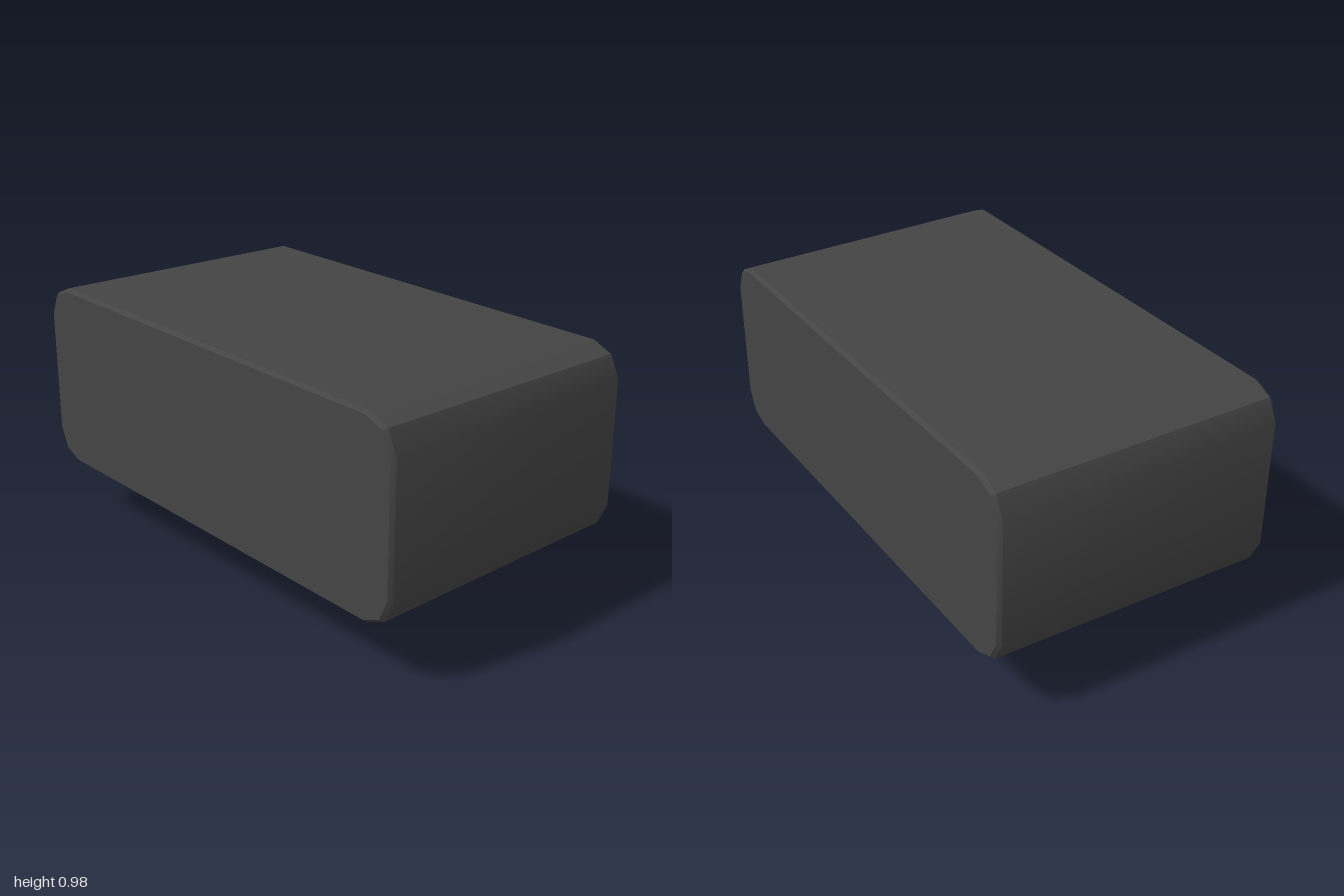
import * as THREE from 'three';
import { toCreasedNormals } from 'three/addons/utils/BufferGeometryUtils.js';

const shellMaterial = new THREE.MeshStandardMaterial({ color: 0x444444 });
const lensMaterial = new THREE.MeshStandardMaterial({ color: 0x384045 });

// Box housing: cut-corner profile, bevelled ends, slightly narrower at the back
function createHousing() {
  const bevel = 0.012, thickness = 0.015, length = 1.12, centreY = 0.618;
  const corner = [[1, 0.25], [0.96, 0.337], [0.88, 0.372]];
  const mirrored = (sx, sy) => corner.map(([x, y]) => new THREE.Vector2(sx * x, sy * y));
  const outline = [
    ...mirrored(1, 1), ...mirrored(-1, 1).reverse(),
    ...mirrored(-1, -1), ...mirrored(1, -1).reverse(),
  ];
  const geometry = new THREE.ExtrudeGeometry(new THREE.Shape(outline), {
    depth: length - 2 * thickness, bevelEnabled: true, bevelSegments: 1,
    bevelSize: bevel, bevelThickness: thickness, bevelOffset: -bevel,
  });
  geometry.translate(0, 0, thickness - length / 2);

  // Taper towards the back
  const p = geometry.attributes.position;
  for (let i = 0; i < p.count; i++) {
    const back = 0.5 - p.getZ(i) / length;
    p.setXY(i, p.getX(i) * (1 - 0.012 * back), p.getY(i) * (1 - 0.026 * back) + centreY);
  }
  const housing = new THREE.Mesh(toCreasedNormals(geometry, 0.5), shellMaterial);
  housing.name = 'housing';
  return housing;
}

// Shallow oval dome sunk into the underside
function createDome() {
  const geometry = new THREE.SphereGeometry(1, 16, 8);
  geometry.scale(0.62, 0.172, 0.39);
  geometry.translate(0, 0.245, 0);
  const dome = new THREE.Mesh(geometry, lensMaterial);
  dome.name = 'dome';
  return dome;
}

// V-shaped guard of two six-sided rods meeting below the dome
function createGuard(x) {
  const guard = new THREE.Group();
  guard.name = 'guard';
  const bottom = new THREE.Vector3(0, 0.024, 0);
  for (const side of [1, -1]) {
    const end = new THREE.Vector3(0, 0.24, side * 0.472);
    const direction = end.clone().sub(bottom);
    const geometry = new THREE.CylinderGeometry(0.024, 0.024, direction.length(), 6);
    geometry.rotateY(Math.PI / 2); // ridges point sideways
    const rod = new THREE.Mesh(toCreasedNormals(geometry, 0.5), shellMaterial);
    rod.name = side > 0 ? 'frontRod' : 'backRod';
    rod.position.copy(bottom).add(end).multiplyScalar(0.5);
    rod.rotation.x = Math.atan2(direction.z, direction.y);
    guard.add(rod);
  }
  guard.position.x = x;
  return guard;
}

export function createModel() {
  const model = new THREE.Group();
  model.name = 'domedLampBox';
  model.add(createHousing(), createDome());
  for (const x of [-0.375, 0, 0.375]) model.add(createGuard(x));
  return model;
}
